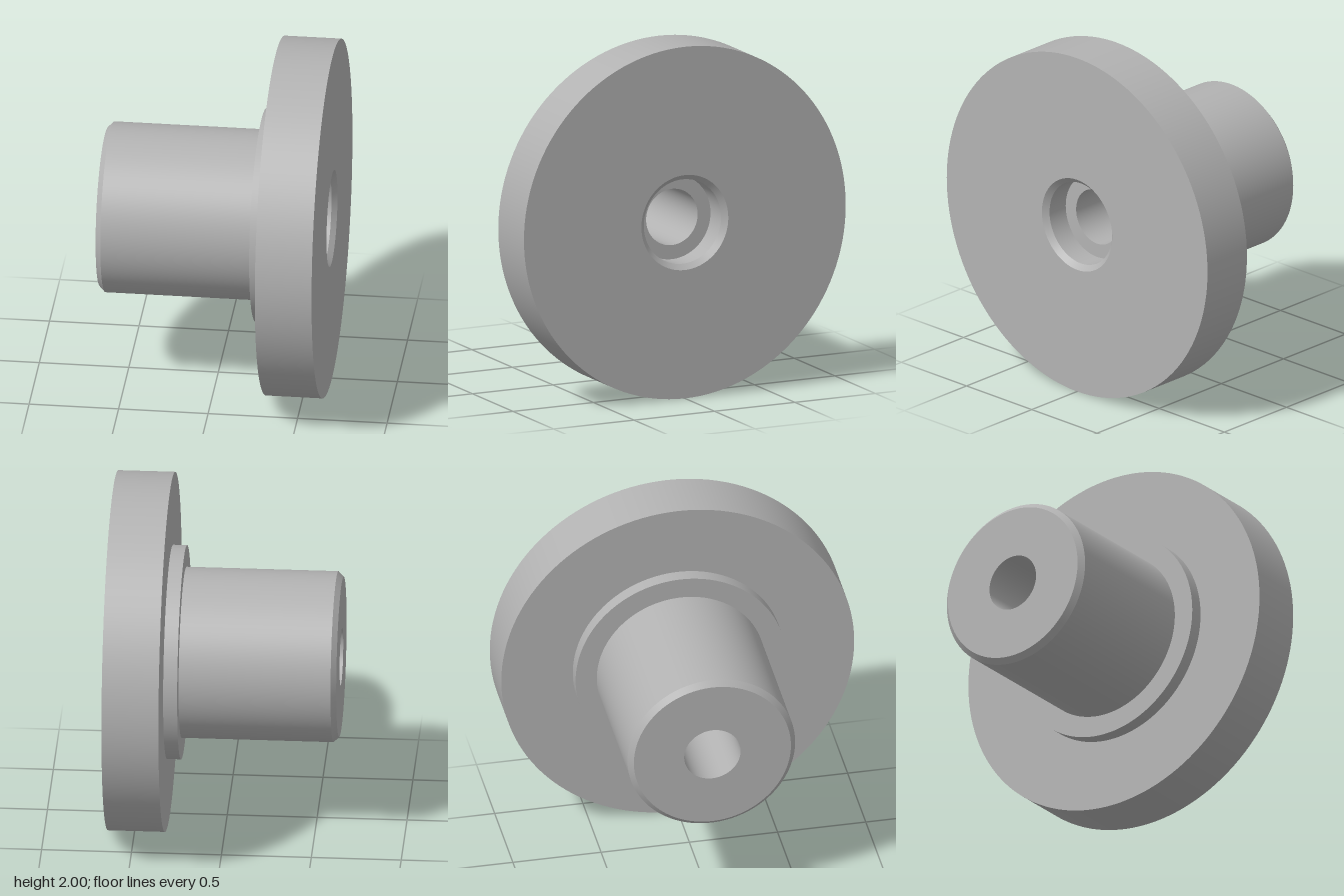
import * as THREE from 'three';
import { mergeGeometries } from 'three/addons/utils/BufferGeometryUtils.js';

const SEGMENTS = 128;

// Revolve a [radius, x] profile about the x axis, keeping every profile corner sharp
function revolve(profile) {
  const bands = [];
  for (let i = 0; i < profile.length - 1; i++) {
    const ends = [profile[i], profile[i + 1]].map(([r, x]) => new THREE.Vector2(r, x));
    bands.push(new THREE.LatheGeometry(ends, SEGMENTS));
  }
  return mergeGeometries(bands).rotateZ(-Math.PI / 2);
}

export function createModel() {
  const steel = new THREE.MeshStandardMaterial({ color: 0xb2b2b2 });
  steel.name = 'grey steel';

  const end = 0.635, bore = 0.16, seat = 0.475;
  const parts = {
    // chamfered shaft with its pierced end face
    shaft: [[bore, -end], [0.445, -end], [0.475, -0.605], [0.475, 0.24]],
    // low shoulder between shaft and flange
    collar: [[0.475, 0.24], [0.595, 0.24], [0.595, 0.318]],
    // large disc with its outer face
    flange: [[0.595, 0.318], [1, 0.318], [1, end], [0.27, end]],
    // chamfered recess in the flange face
    counterbore: [[0.27, end], [0.24, 0.605], [0.24, seat], [bore, seat]],
    // through hole
    bore: [[bore, seat], [bore, -end]],
  };

  const model = new THREE.Group();
  model.name = 'flangedBushing';
  for (const [name, profile] of Object.entries(parts)) {
    const mesh = new THREE.Mesh(revolve(profile), steel);
    mesh.name = name;
    mesh.position.y = 1;
    model.add(mesh);
  }
  return model;
}
